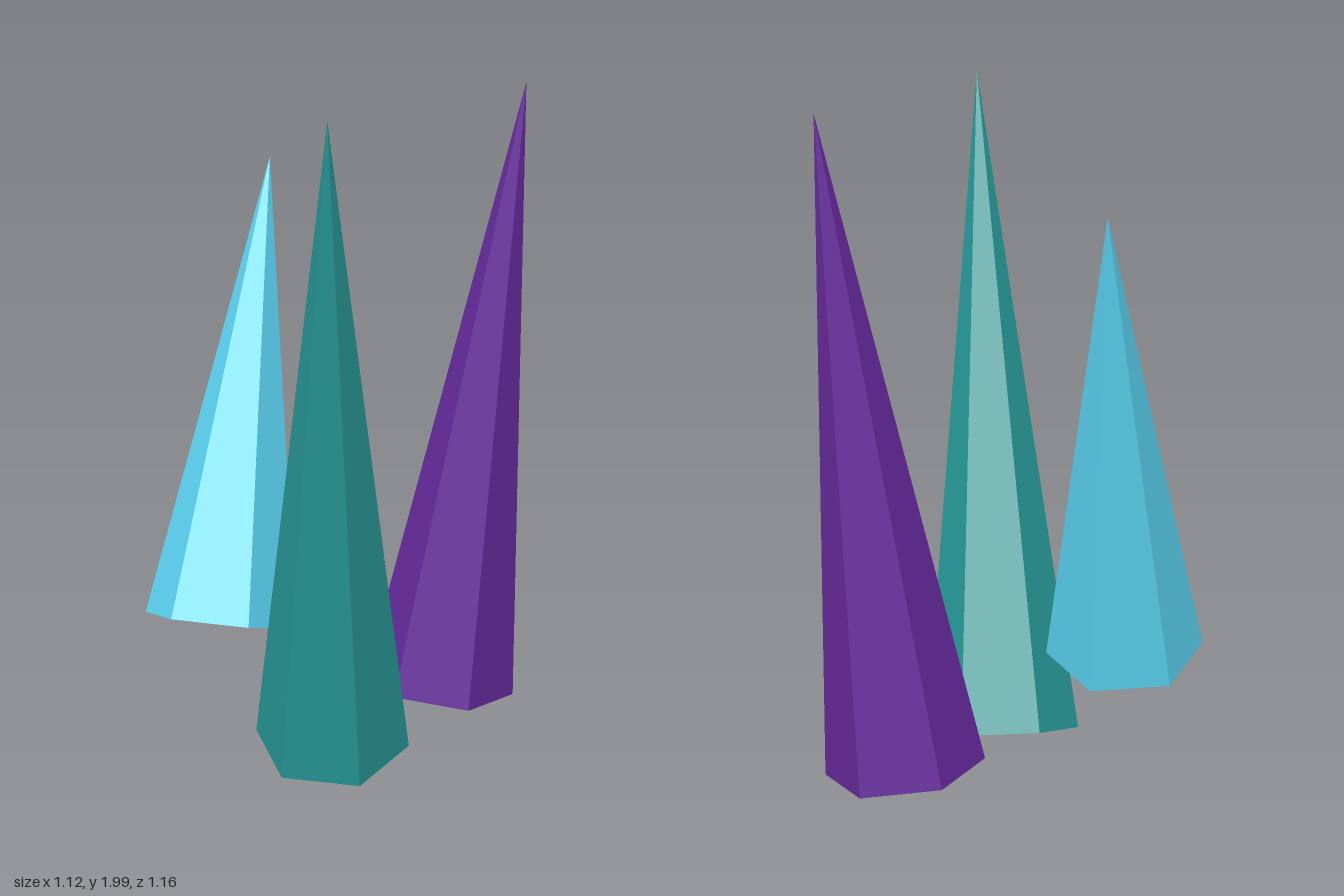
import * as THREE from 'three';

// Six-sided spike from the middle of its base to its tip; twist leans the first corner from +z towards +x.
function spike(name, color, base, tip, twist) {
  const from = new THREE.Vector3(...base);
  const axis = new THREE.Vector3(...tip).sub(from);
  const length = axis.length();
  axis.normalize();

  const geometry = new THREE.ConeGeometry(0.23, length, 6);
  geometry.translate(0, length / 2, 0);

  const side = new THREE.Vector3().crossVectors(axis, new THREE.Vector3(twist, 0, 1).projectOnPlane(axis)).normalize();
  const corner = new THREE.Vector3().crossVectors(side, axis);

  const mesh = new THREE.Mesh(geometry, new THREE.MeshStandardMaterial({ color, flatShading: true }));
  mesh.name = name;
  mesh.quaternion.setFromRotationMatrix(new THREE.Matrix4().makeBasis(side, axis, corner));
  mesh.position.copy(from);
  return mesh;
}

export function createModel() {
  const group = new THREE.Group();
  group.name = 'crystalCluster';
  group.add(
    spike('tealCrystal', 0x279a98, [-0.105, 0.066, 0.048], [-0.305, 2.0, 0.58], -0.01),
    spike('purpleCrystal', 0x662a9c, [0.328, 0.1, -0.165], [0.555, 1.96, -0.105], 0),
    spike('blueCrystal', 0x5cd6f7, [-0.358, 0.37, -0.236], [-0.07, 1.7, -0.585], 0.02),
  );
  return group;
}
